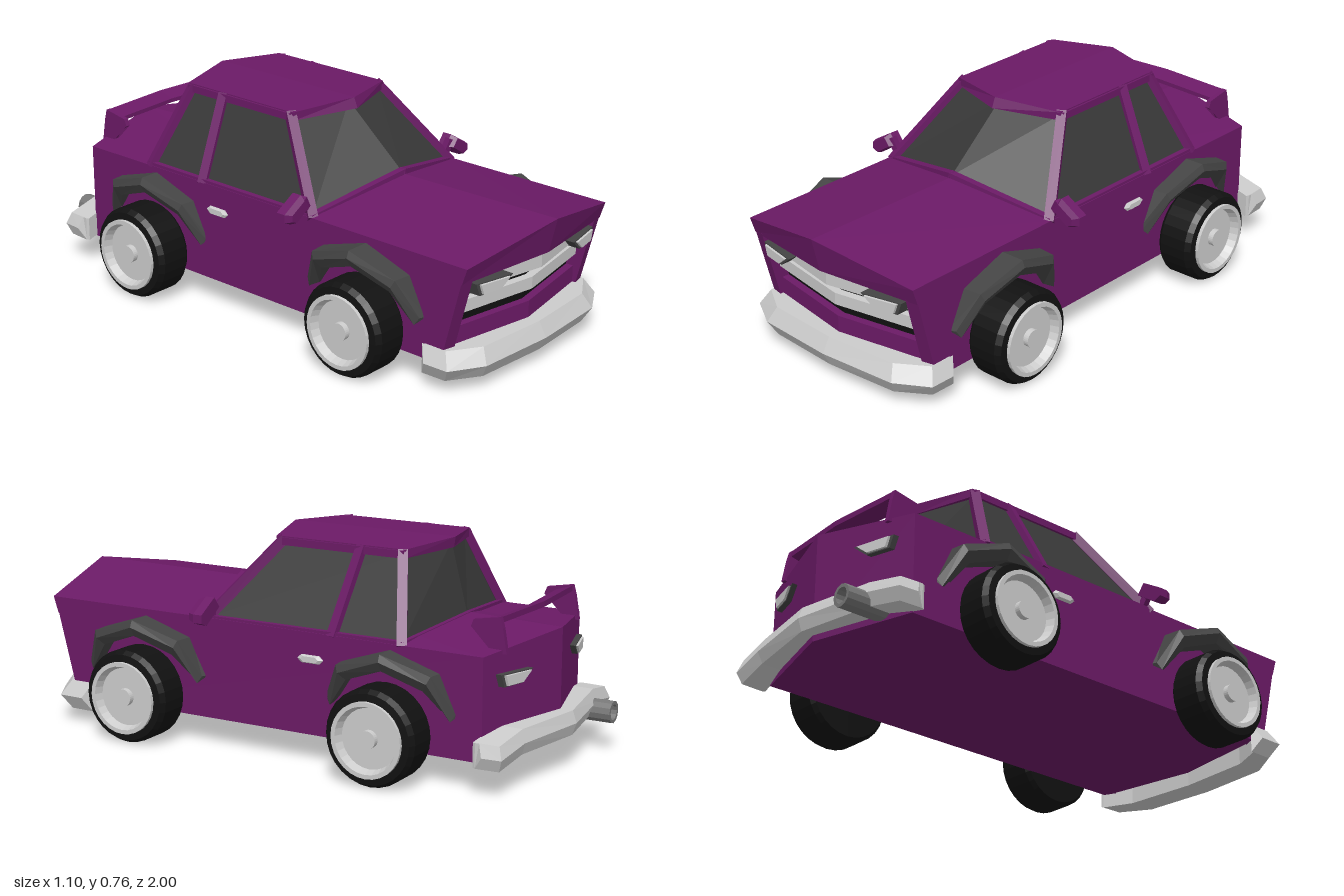
import * as THREE from 'three';

const mat = (color) => new THREE.MeshStandardMaterial({ color, flatShading: true });
const paint = mat(0x6b1a66), glass = mat(0x383838), trim = mat(0x444444);
const rubber = mat(0x111111), metal = mat(0xcccccc);

export function createModel() {
  const car = new THREE.Group();

  const add = (name, geometry, material, parent = car) => {
    const mesh = new THREE.Mesh(geometry, material);
    mesh.name = name;
    parent.add(mesh);
    return mesh;
  };

  // Closed solid through a list of rings of [x, y, z]; faces always turned outward
  const loft = (name, rings, material) => {
    const n = rings[0].length, last = rings.length - 1, tris = [];
    for (let r = 0; r < last; r++) {
      for (let i = 0; i < n; i++) {
        const j = (i + 1) % n, a = rings[r], b = rings[r + 1];
        tris.push([a[i], a[j], b[j]], [a[i], b[j], b[i]]);
      }
    }
    for (let i = 1; i < n - 1; i++) {
      tris.push([rings[0][0], rings[0][i + 1], rings[0][i]]);
      tris.push([rings[last][0], rings[last][i], rings[last][i + 1]]);
    }
    let volume = 0;
    const v = (p) => new THREE.Vector3(...p);
    for (const [a, b, c] of tris) volume += v(a).dot(v(b).cross(v(c)));
    if (volume < 0) tris.forEach((t) => t.reverse());
    const geometry = new THREE.BufferGeometry();
    geometry.setAttribute('position', new THREE.Float32BufferAttribute(tris.flat(2), 3));
    geometry.computeVertexNormals();
    return add(name, geometry, material);
  };

  // Solid mirrored in x: profiles of [z, y] at the side and at the centre line
  const across = (name, w, side, centre, material) => {
    const ring = (x, profile) => profile.map(([z, y]) => [x, y, z]);
    return loft(name, [ring(-w, side), ring(0, centre), ring(w, side)], material);
  };

  // V-shaped horizontal bar
  const chevron = (name, w, y0, y1, zSide, zCentre, depth, material) => {
    const rect = (z) => [[z - depth, y0], [z, y0], [z, y1], [z - depth, y1]];
    return across(name, w, rect(zSide), rect(zCentre), material);
  };

  // Square bar between two points
  const beam = (name, a, b, width, material) => {
    const p = new THREE.Vector3(...a), q = new THREE.Vector3(...b);
    const mesh = add(name, new THREE.BoxGeometry(width, width, p.distanceTo(q) + width * 0.5), material);
    mesh.position.copy(p).lerp(q, 0.5);
    mesh.lookAt(q);
    return mesh;
  };

  // Body shell with an overhanging nose
  across('body', 0.385,
    [[-0.81, 0.455], [-0.81, 0.1], [0.78, 0.1], [0.81, 0.4], [0.91, 0.4], [0.93, 0.46], [0.27, 0.46]],
    [[-0.915, 0.49], [-0.915, 0.1], [0.84, 0.1], [0.87, 0.4], [0.97, 0.41], [1, 0.535], [0.36, 0.53]], paint);
  for (const s of [-1, 1]) {
    const cheek = (x, d) => [[x, 0.1, 0.74], [x, 0.1, 0.83 + d], [x, 0.41, 0.91 + d], [x, 0.41, 0.74]];
    loft('noseCheek', [cheek(s * 0.34, 0.01), cheek(s * 0.385, 0)], paint);
  }

  // Grille
  across('grilleBack', 0.345,
    [[0.76, 0.2], [0.81, 0.2], [0.83, 0.4], [0.76, 0.4]],
    [[0.82, 0.2], [0.87, 0.2], [0.89, 0.4], [0.82, 0.4]], rubber);
  chevron('grilleUpperBar', 0.34, 0.35, 0.395, 0.88, 0.945, 0.05, metal);
  chevron('grilleLowerBar', 0.34, 0.262, 0.305, 0.85, 0.91, 0.05, metal);
  chevron('grilleSill', 0.345, 0.12, 0.215, 0.84, 0.9, 0.08, paint);

  // Head and tail lights: a trapezoid housing with a smaller lens
  const lamp = (name, s, z0, slope, dir) => {
    const outline = [[0.17, 0.385], [0.325, 0.388], [0.31, 0.344], [0.22, 0.344]];
    const ring = (k, d) => outline.map(([x, y]) => {
      const px = 0.257 + (x - 0.257) * k;
      return [s * px, 0.366 + (y - 0.366) * k, dir * (z0 - slope * px + d)];
    });
    loft(name + 'Housing', [ring(1, -0.05), ring(1, 0)], trim);
    loft(name + 'Lens', [ring(0.85, -0.02), ring(0.8, 0.008)], metal);
  };
  for (const s of [-1, 1]) {
    lamp('headlight', s, 0.985, 0.19, 1);
    lamp('taillight', s, 0.935, 0.27, -1);
  }

  // Glasshouse and roof
  const base = [[0, 0.535, 0.35], [0.37, 0.455, 0.265], [0.37, 0.455, -0.505],
    [0, 0.49, -0.56], [-0.37, 0.455, -0.505], [-0.37, 0.455, 0.265]];
  const top = [[0, 0.74, 0.105], [0.228, 0.73, 0.04], [0.228, 0.73, -0.43],
    [0, 0.74, -0.495], [-0.228, 0.73, -0.43], [-0.228, 0.73, 0.04]];
  loft('windows', [base, top], glass);
  across('roof', 0.238,
    [[0.06, 0.715], [0.06, 0.745], [-0.445, 0.745], [-0.445, 0.715]],
    [[0.145, 0.72], [0.13, 0.757], [-0.51, 0.757], [-0.505, 0.72]], paint);
  base.forEach((p, i) => {
    beam('windowSill', p, base[(i + 1) % 6], 0.026, paint);
    if (i % 3) beam('cornerPillar', p, top[i], 0.034, paint);
  });
  for (const s of [-1, 1]) {
    beam('middlePillar', [s * 0.37, 0.455, -0.245], [s * 0.23, 0.73, -0.275], 0.034, paint);
    beam('roofRail', [s * 0.232, 0.728, 0.045], [s * 0.232, 0.728, -0.435], 0.026, paint);
  }

  // Wheels: the lathe axis lies along the axle
  const turned = (points) =>
    new THREE.LatheGeometry(points.map(([r, y]) => new THREE.Vector2(r, y)), 28).rotateZ(-Math.PI / 2);
  const tyre = turned([[0, 0], [0.155, 0], [0.167, 0.015], [0.167, 0.12], [0.155, 0.14], [0.126, 0.143]]);
  const rim = turned([[0.13, 0.1], [0.13, 0.155], [0.115, 0.155], [0.104, 0.125], [0, 0.125]]);
  const hub = turned([[0.031, 0.12], [0.031, 0.145], [0, 0.145]]);
  for (const s of [-1, 1]) {
    for (const [name, z, x] of [['frontWheel', 0.52, 0.383], ['rearWheel', -0.47, 0.395]]) {
      const wheel = new THREE.Group();
      wheel.name = name;
      wheel.position.set(s * x, 0.167, z);
      if (s < 0) wheel.rotation.y = Math.PI;
      add('tyre', tyre, rubber, wheel);
      add('rim', rim, metal, wheel);
      add('hub', hub, metal, wheel);
      car.add(wheel);
    }
  }

  // Flared arches: [outer z, outer y, inner z, inner y, flare x]
  const arch = [[0.25, 0.245, 0.2, 0.24, 0.41], [0.185, 0.375, 0.145, 0.325, 0.462],
    [0, 0.437, 0, 0.378, 0.483], [-0.185, 0.38, -0.145, 0.325, 0.462], [-0.255, 0.25, -0.2, 0.24, 0.41]];
  for (const s of [-1, 1]) {
    for (const [name, z, d] of [['frontArch', 0.515, 0], ['rearArch', -0.47, -0.015]]) {
      loft(name, arch.map(([oz, oy, iz, iy, x]) => [
        [s * 0.375, oy, z + oz], [s * (x + d - 0.01), oy, z + oz * 0.96],
        [s * (x + d), oy - 0.025, z + oz * 0.9], [s * (x + d - 0.02), iy, z + iz], [s * 0.375, iy, z + iz],
      ]), trim);
    }
  }

  // Bumpers swept along [x, outer z, inner z, y shift], ridged at mid height
  const bumper = (name, path, y, h, ridge) => {
    const full = [...path.map(([x, ...r]) => [-x, ...r]), ...path.slice(0, -1).reverse()];
    loft(name, full.map(([x, zo, zi, dy]) => {
      const k = 1 - ridge / 0.42;
      return [[x * k, y - h + dy, zi], [x * k, y - h + dy, zo - Math.sign(zo) * ridge], [x, y + dy, zo],
        [x * k, y + h + dy, zo - Math.sign(zo) * ridge], [x * k, y + h + dy, zi]];
    }), metal);
  };
  bumper('frontBumper', [[0.42, 0.79, 0.76, 0], [0.418, 0.885, 0.77, 0], [0.3, 0.955, 0.82, 0],
    [0, 0.975, 0.84, 0]], 0.102, 0.053, 0.03);
  bumper('rearBumper', [[0.45, -0.84, -0.81, -0.005], [0.445, -0.91, -0.8, -0.005], [0.3, -0.925, -0.82, 0.02],
    [0, -0.975, -0.88, 0.02]], 0.145, 0.043, 0.015);

  // Exhaust pipe, open at the end
  const pipe = new THREE.LatheGeometry([[0.04, 0], [0.04, 0.22], [0.028, 0.22], [0.028, 0.1], [0, 0.1]]
    .map(([r, y]) => new THREE.Vector2(r, y)), 12).rotateX(-Math.PI / 2);
  add('exhaust', pipe, mat(0x777777)).position.set(-0.265, 0.142, -0.78);

  // Rear spoiler with end fins
  across('spoilerWing', 0.29,
    [[-0.765, 0.535], [-0.825, 0.55], [-0.825, 0.57], [-0.765, 0.55]],
    [[-0.785, 0.535], [-0.845, 0.55], [-0.845, 0.57], [-0.785, 0.55]], paint);
  for (const s of [-1, 1]) {
    const fin = (x) => [[x, 0.45, -0.8], [x, 0.5, -0.765], [x, 0.53, -0.72], [x, 0.555, -0.73],
      [x, 0.572, -0.825], [x, 0.535, -0.835], [x, 0.45, -0.85]];
    loft('spoilerFin', [fin(s * 0.278), fin(s * 0.296)], paint);

    // Door mirror
    beam('mirrorArm', [s * 0.36, 0.455, 0.24], [s * 0.395, 0.52, 0.245], 0.024, paint);
    const shell = (z, k) => [[0.375, 0.502], [0.405, 0.54], [0.485, 0.492], [0.485, 0.462], [0.455, 0.45]]
      .map(([x, y]) => [s * (0.435 + (x - 0.435) * k), 0.492 + (y - 0.492) * k, z]);
    loft('mirror', [shell(0.21, 1), shell(0.245, 1), shell(0.27, 0.75)], paint);

    // Door handle
    const grip = (x, k) => [[-0.05, 0], [-0.035, 0.014], [0.035, 0.014], [0.05, 0], [0.035, -0.014], [-0.035, -0.014]]
      .map(([z, y]) => [s * x, 0.366 + y * k, -0.165 + z * k]);
    loft('doorHandle', [grip(0.375, 1), grip(0.39, 1), grip(0.397, 0.7)], metal);
  }
  return car;
}
